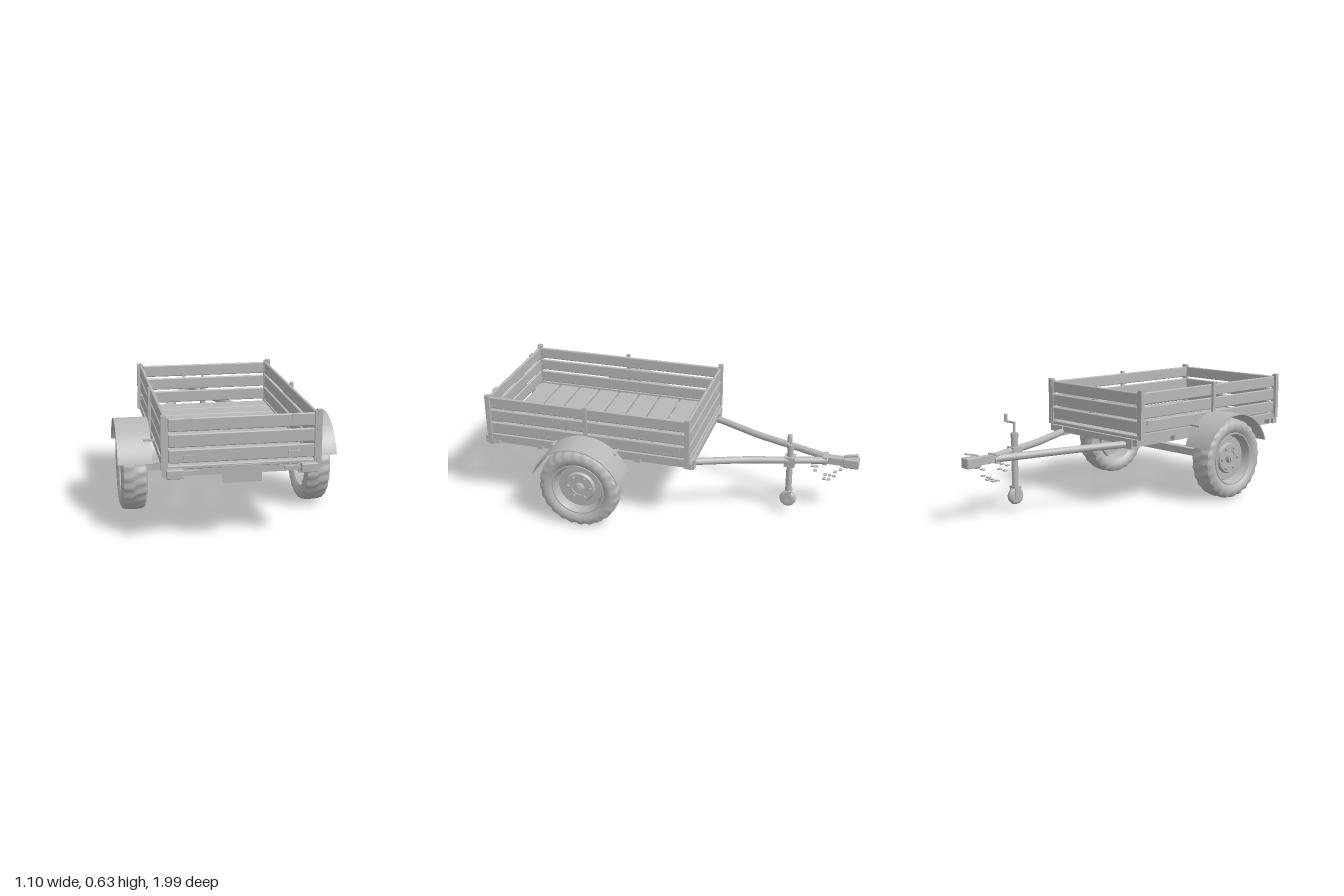
import * as THREE from 'three';
import { toCreasedNormals } from 'three/addons/utils/BufferGeometryUtils.js';
import { RoundedBoxGeometry } from 'three/addons/geometries/RoundedBoxGeometry.js';

const V = (x, y, z) => new THREE.Vector3(x, y, z);

export function createModel() {
  const root = new THREE.Group();
  root.name = 'utilityTrailer';
  const grey = new THREE.MeshStandardMaterial({ color: 0xb8b8b8, side: THREE.DoubleSide });
  grey.name = 'plainGrey';

  const add = (name, geo, parent = root) => {
    const m = new THREE.Mesh(geo, grey);
    m.name = name;
    parent.add(m);
    return m;
  };
  // box given by its min and max on each axis
  const box = (name, x0, x1, y0, y1, z0, z1, parent = root, round = 0) => {
    const s = [x1 - x0, y1 - y0, z1 - z0];
    const g = round ? new RoundedBoxGeometry(...s, 2, round) : new THREE.BoxGeometry(...s);
    const m = add(name, g, parent);
    m.position.set((x0 + x1) / 2, (y0 + y1) / 2, (z0 + z1) / 2);
    return m;
  };
  // the same box on both sides
  const pair = (name, x0, x1, ...rest) => {
    box(name, x0, x1, ...rest);
    box(name, -x1, -x0, ...rest);
  };
  // cylinder between two points
  const rod = (name, a, b, r, parent = root, sides = 20) => {
    const m = add(name, new THREE.CylinderGeometry(r, r, a.distanceTo(b), sides), parent);
    m.position.copy(a).add(b).multiplyScalar(0.5);
    m.quaternion.setFromUnitVectors(V(0, 1, 0), b.clone().sub(a).normalize());
    return m;
  };
  // smooth solid of revolution about the x axis
  const spin = (pts, segs) => new THREE.LatheGeometry(
    pts.map(p => new THREE.Vector2(...p)), segs).rotateZ(-Math.PI / 2);

  // floor planks
  const pitch = 0.1245;
  for (let i = 0; i < 9; i++) {
    const z = -0.155 + i * pitch;
    box('floorPlank', -0.348, 0.348, 0.378, 0.397, z, z + pitch - 0.01, root, 0.005);
  }

  // three boards on each wall, with open gaps between them
  for (const [y0, y1] of [[0.41, 0.475], [0.485, 0.549], [0.56, 0.623]]) {
    pair('sideBoard', 0.345, 0.361, y0, y1, -0.14, 0.95, root, 0.006);
    box('tailBoard', -0.342, 0.342, y0, y1, 0.947, 0.963, root, 0.006);
    box('headBoard', -0.342, 0.342, y0, y1, -0.156, -0.14, root, 0.006);
  }

  // posts, latches, hinges and side markers
  for (const z of [-0.16, 0.945]) {
    pair('cornerPost', 0.353, 0.376, 0.38, 0.637, z, z + 0.024);
    pair('cornerFlange', 0.343, 0.358, 0.38, 0.63, z + 0.002, z + 0.022);
  }
  pair('middlePost', 0.36, 0.375, 0.37, 0.635, 0.396, 0.416);
  pair('tailLatch', 0.23, 0.265, 0.597, 0.622, 0.96, 0.972);
  pair('tailHinge', 0.218, 0.274, 0.425, 0.448, 0.96, 0.972);
  pair('sideMarker', 0.36, 0.367, 0.451, 0.474, -0.107, -0.064);

  // chassis
  pair('edgeRail', 0.346, 0.364, 0.374, 0.405, -0.156, 0.965);
  pair('lengthwiseRail', 0.272, 0.32, 0.334, 0.377, -0.16, 0.96);
  for (const z of [-0.15, 0.13, 0.406, 0.68, 0.935]) {
    box('crossMember', -0.352, 0.352, 0.344, 0.377, z - 0.015, z + 0.015);
  }
  pair('tailLamp', 0.276, 0.354, 0.344, 0.388, 0.96, 0.994, root, 0.005);
  pair('tailLampBracket', 0.2, 0.28, 0.362, 0.374, 0.955, 0.972);
  pair('frameEnd', 0.35, 0.367, 0.344, 0.38, 0.94, 0.97);
  box('numberPlate', -0.095, 0.09, 0.312, 0.396, 0.978, 0.985);

  // axle, spring seats and dampers
  box('axle', -0.42, 0.42, 0.205, 0.245, 0.381, 0.431);
  pair('springSeat', 0.268, 0.318, 0.314, 0.336, 0.37, 0.442);
  for (const s of [-1, 1]) {
    rod('damper', V(s * 0.294, 0.225, 0.406), V(s * 0.294, 0.32, 0.406), 0.017);
    for (let i = 0; i < 5; i++) {
      const coil = add('damperCoil', new THREE.TorusGeometry(0.016, 0.004, 6, 20).rotateX(Math.PI / 2));
      coil.position.set(s * 0.294, 0.255 + i * 0.013, 0.406);
    }
  }

  // tyre with scalloped tread lugs
  const half = [[0.142, 0.048], [0.158, 0.061], [0.178, 0.067], [0.197, 0.064], [0.212, 0.054], [0.218, 0.035], [0.22, 0.012]];
  const profile = [[0.13, 0], ...half.map(([r, x]) => [r, -x]), ...[...half].reverse(), [0.13, 0]];
  const tyre = spin(profile, 96);
  const p = tyre.attributes.position;
  for (let i = 0; i < p.count; i++) {
    const y = p.getY(i), z = p.getZ(i), r = Math.hypot(y, z);
    if (r < 0.19) continue;
    const phase = Math.atan2(z, y) * 24 + (p.getX(i) > 0 ? 0.6 : 3.7);
    const k = Math.sin(phase) < 0 ? 1 - 0.006 / r : 1;
    p.setY(i, y * k);
    p.setZ(i, z * k);
  }
  const tyreGeo = toCreasedNormals(tyre, 0.6);
  const rimGeo = toCreasedNormals(spin([[0.13, -0.05], [0.124, -0.01], [0.12, 0.012], [0.085, 0.012], [0.078, 0.026],
    [0.045, 0.026], [0.045, 0.02], [0, 0.02]].reverse(), 48), 0.5);
  const rimLip = toCreasedNormals(spin([[0.146, 0.046], [0.144, 0.055], [0.137, 0.055], [0.128, 0.035], [0.124, -0.01]], 48), 0.5);

  // curved mudguard sheet as a thin extruded arc
  const arc = new THREE.Shape();
  const t = 0.34;
  arc.absarc(0, 0, 0.25, t, Math.PI - t, false);
  arc.absarc(0, 0, 0.245, Math.PI - t, t, true);
  const guardGeo = toCreasedNormals(new THREE.ExtrudeGeometry(arc,
    { depth: 0.17, bevelEnabled: false, curveSegments: 36 }).rotateY(Math.PI / 2), 0.5);

  for (const s of [-1, 1]) {
    const side = new THREE.Group();
    side.name = s > 0 ? 'leftWheelAssembly' : 'rightWheelAssembly';
    side.position.set(0, 0.226, 0.406);
    if (s < 0) side.rotation.y = Math.PI;
    root.add(side);
    const wheel = new THREE.Group();
    wheel.name = 'wheel';
    wheel.position.x = 0.465;
    side.add(wheel);
    add('tyre', tyreGeo, wheel);
    add('rim', rimGeo, wheel);
    add('rimLip', rimLip, wheel);
    rod('hub', V(-0.06, 0, 0), V(0.045, 0, 0), 0.026, wheel, 24);
    rod('hubCap', V(0.045, 0, 0), V(0.052, 0, 0), 0.017, wheel, 24);
    for (let i = 0; i < 6; i++) {
      const a = i * Math.PI / 3, y = 0.062 * Math.sin(a), z = 0.062 * Math.cos(a);
      rod('wheelBolt', V(0.02, y, z), V(0.038, y, z), 0.009, wheel, 6);
    }
    add('mudguard', guardGeo, side).position.x = 0.38;
    for (const z of [-0.178, 0.168]) {
      box('mudguardBracket', 0.355, 0.42, 0.182, 0.192, z - 0.006, z + 0.006, side);
    }
  }

  // bent drawbar tubes meeting at the coupling
  for (const s of [-1, 1]) {
    const path = new THREE.CurvePath();
    const a = V(s * 0.278, 0.346, -0.12), b = V(s * 0.165, 0.336, -0.38);
    const c = V(s * 0.135, 0.333, -0.46), d = V(s * 0.018, 0.322, -0.83);
    path.add(new THREE.LineCurve3(a, b));
    path.add(new THREE.QuadraticBezierCurve3(b, V(s * 0.148, 0.334, -0.42), c));
    path.add(new THREE.LineCurve3(c, d));
    add('drawbarTube', new THREE.TubeGeometry(path, 40, 0.019, 16));
    box('drawbarBracket', s * 0.282 - 0.034, s * 0.282 + 0.034, 0.325, 0.378, -0.172, -0.115);
  }

  // coupling
  box('couplingPlate', -0.036, 0.036, 0.3, 0.345, -0.83, -0.805);
  box('couplingNeck', -0.022, 0.022, 0.302, 0.34, -0.93, -0.82);
  box('couplingHead', -0.029, 0.029, 0.293, 0.346, -0.998, -0.915, root, 0.006);
  const lever = box('couplingLever', -0.01, 0.01, 0.353, 0.361, -0.99, -0.915);
  lever.rotation.x = 0.22;

  // loose safety chain links
  for (const s of [-1, 1]) {
    for (const [z, y] of [[-0.755, 0.28], [-0.77, 0.255], [-0.82, 0.211], [-0.845, 0.211], [-0.872, 0.235], [-0.905, 0.28]]) {
      box('chainLink', s * 0.023 - 0.01, s * 0.023 + 0.01, y - 0.003, y + 0.003, z - 0.009, z + 0.009);
    }
  }

  // jockey wheel with clamp and crank
  const jack = new THREE.Group();
  jack.name = 'jockeyWheel';
  jack.position.set(0.07, 0, -0.638);
  root.add(jack);
  rod('jackTube', V(0, 0.13, 0), V(0, 0.4, 0), 0.017, jack);
  rod('jackCap', V(0, 0.395, 0), V(0, 0.42, 0), 0.02, jack);
  box('jackClamp', -0.028, 0.028, 0.292, 0.348, -0.028, 0.028, jack);
  rod('clampScrew', V(0.0, 0.32, 0.02), V(-0.012, 0.32, 0.038), 0.01, jack);
  rod('crankShaft', V(0, 0.41, 0), V(0, 0.475, 0), 0.006, jack);
  rod('crankArm', V(-0.004, 0.473, 0), V(0.073, 0.473, 0), 0.006, jack);
  rod('crankGrip', V(0.07, 0.47, 0), V(0.07, 0.51, 0), 0.009, jack);
  box('forkTop', -0.025, 0.025, 0.13, 0.14, -0.02, 0.02, jack);
  for (const s of [-1, 1]) {
    box('forkCheek', s * 0.023 - 0.003, s * 0.023 + 0.003, 0.07, 0.135, -0.016, 0.016, jack);
  }
  rod('smallAxle', V(-0.03, 0.087, 0), V(0.03, 0.087, 0), 0.008, jack);
  const roller = add('smallWheel', spin([[0, -0.018], [0.03, -0.018], [0.041, -0.013], [0.045, 0],
    [0.041, 0.013], [0.03, 0.018], [0, 0.018]], 32), jack);
  roller.position.y = 0.087;

  return root;
}
